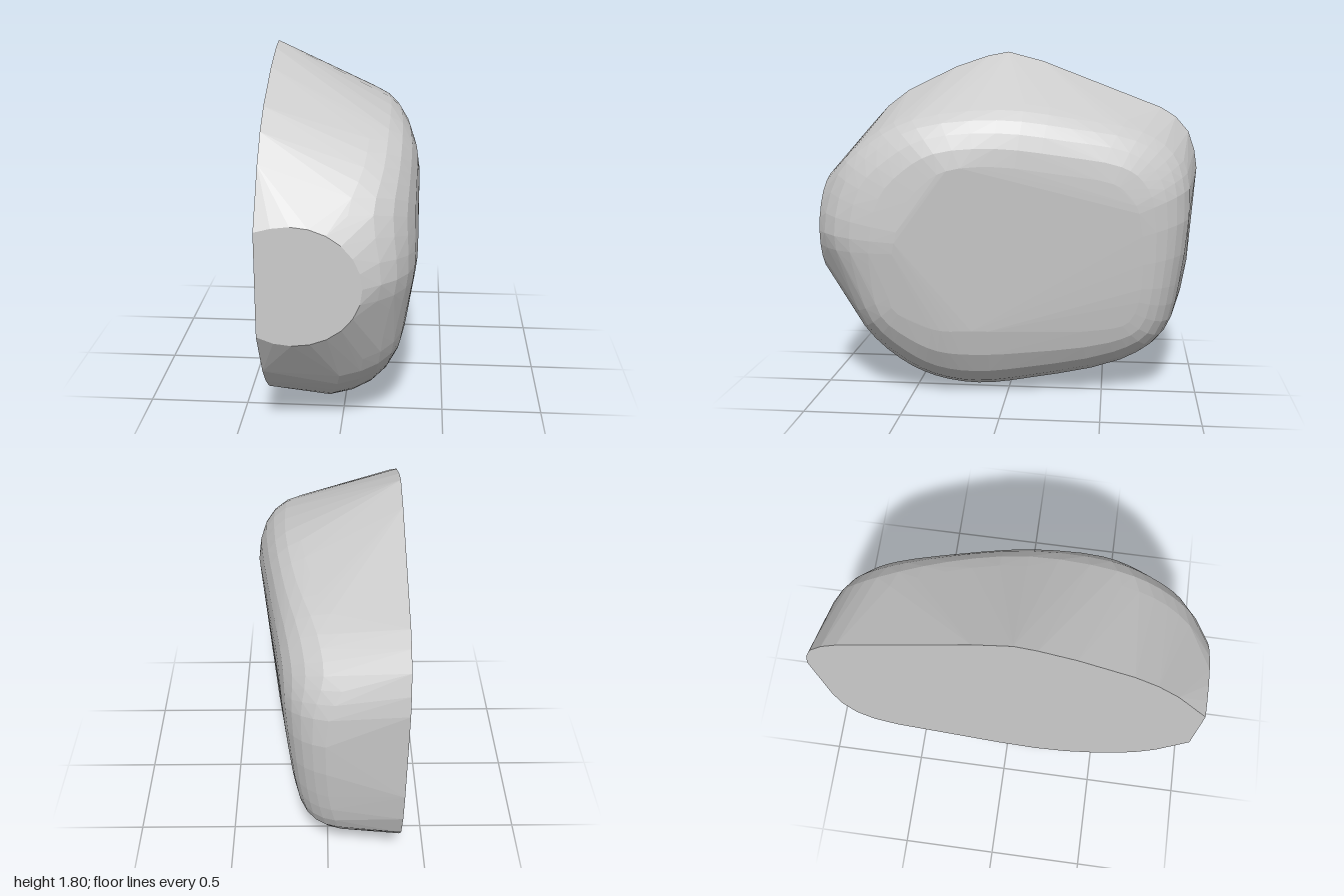
import * as THREE from 'three';
import { ConvexGeometry } from 'three/addons/geometries/ConvexGeometry.js';

// Flat cut outline at constant x, as z, y
const CUT_X = -0.36;
const CUT = [
  [1, 0.62], [0.85, 0.37], [0.76, 0.27], [0.66, 0.19], [0.5, 0.11], [0.35, 0.06], [0.17, 0.04],
  [-0.05, 0.06], [-0.65, 0.17], [-0.78, 0.23], [-0.87, 0.33], [-0.93, 0.48], [-0.96, 0.65],
  [-1, 1.17], [-0.985, 1.27], [-0.95, 1.37], [-0.88, 1.45], [-0.8, 1.5], [-0.15, 1.75],
  [0.04, 1.8], [0.15, 1.78], [0.33, 1.72], [0.6, 1.59], [0.72, 1.5], [0.83, 1.38], [1, 1.12],
];

// Rounded edge, one row per direction round the stone:
// end of the wall x, z, y | corner z, y | start of the side face z, y
const EDGE = [
  [0.11, 1, 0.87, 0.9, 0.87, 0.55, 0.85],
  [0.05, 0.92, 1.18, 0.85, 1.17, 0.5, 1.02],
  [0.11, 0.74, 1.35, 0.66, 1.34, 0.4, 1.15],
  [0.13, 0.5, 1.48, 0.45, 1.45, 0.28, 1.22],
  [0.14, 0.04, 1.55, 0.03, 1.48, 0.05, 1.24],
  [0.08, -0.35, 1.5, -0.33, 1.44, -0.28, 1.2],
  [-0.05, -0.72, 1.42, -0.65, 1.38, -0.55, 1.15],
  [-0.08, -0.88, 1.3, -0.82, 1.27, -0.62, 1.1],
  [0, -0.94, 1.1, -0.88, 1.08, -0.68, 1],
  [0, -0.9, 0.6, -0.85, 0.6, -0.7, 0.6],
  [-0.05, -0.83, 0.33, -0.78, 0.3, -0.64, 0.42],
  [-0.1, -0.62, 0.15, -0.57, 0.17, -0.52, 0.38],
  [-0.12, -0.1, 0.03, -0.1, 0.04, -0.1, 0.37],
  [-0.12, 0.17, 0, 0.17, 0, 0.17, 0.38],
  [-0.1, 0.42, 0.035, 0.38, 0.05, 0.33, 0.38],
  [-0.05, 0.62, 0.14, 0.55, 0.16, 0.46, 0.42],
  [0, 0.8, 0.33, 0.74, 0.36, 0.58, 0.5],
  [0.03, 0.93, 0.62, 0.86, 0.64, 0.58, 0.68],
];

// Gently tilted side face: x falls away to the back and to the bottom
const sideX = (z, y) => 0.358 - 0.15 * Math.max(0, 0.25 - z) - 0.16 * Math.max(0, 0.85 - y);

const ring = (pick) => new THREE.CatmullRomCurve3(EDGE.map(pick), true, 'centripetal');

export function createModel() {
  const group = new THREE.Group();
  group.name = 'halfStone';
  const stone = new THREE.MeshStandardMaterial({ color: 0xcccccc });
  stone.name = 'stone grey';

  const points = CUT.map(([z, y]) => new THREE.Vector3(CUT_X, y, z));

  // Rounded edge between the outer wall and the side face
  const wall = ring((r) => new THREE.Vector3(r[0], r[2], r[1]));
  const corner = ring((r) => new THREE.Vector3(sideX(r[3], r[4]), r[4], r[3]));
  const face = ring((r) => new THREE.Vector3(sideX(r[5], r[6]), r[6], r[5]));
  const around = EDGE.length * 3;
  for (let i = 0; i < around; i++) {
    const t = i / around;
    const edge = new THREE.QuadraticBezierCurve3(wall.getPoint(t), corner.getPoint(t), face.getPoint(t));
    for (const p of edge.getPoints(5)) {
      p.z = Math.min(p.z, 1);
      p.y = Math.max(p.y, 0);
      points.push(p);
    }
  }

  // Flat oval facet at the front
  for (let i = 0; i <= 16; i++) {
    const a = THREE.MathUtils.lerp(-2 * Math.PI / 3, 2 * Math.PI / 3, i / 16);
    points.push(new THREE.Vector3(-0.2 + 0.32 * Math.cos(a), 0.865 + 0.285 * Math.sin(a), 1));
  }

  const body = new THREE.Mesh(new ConvexGeometry(points), stone);
  body.name = 'stoneBody';
  group.add(body);
  return group;
}
